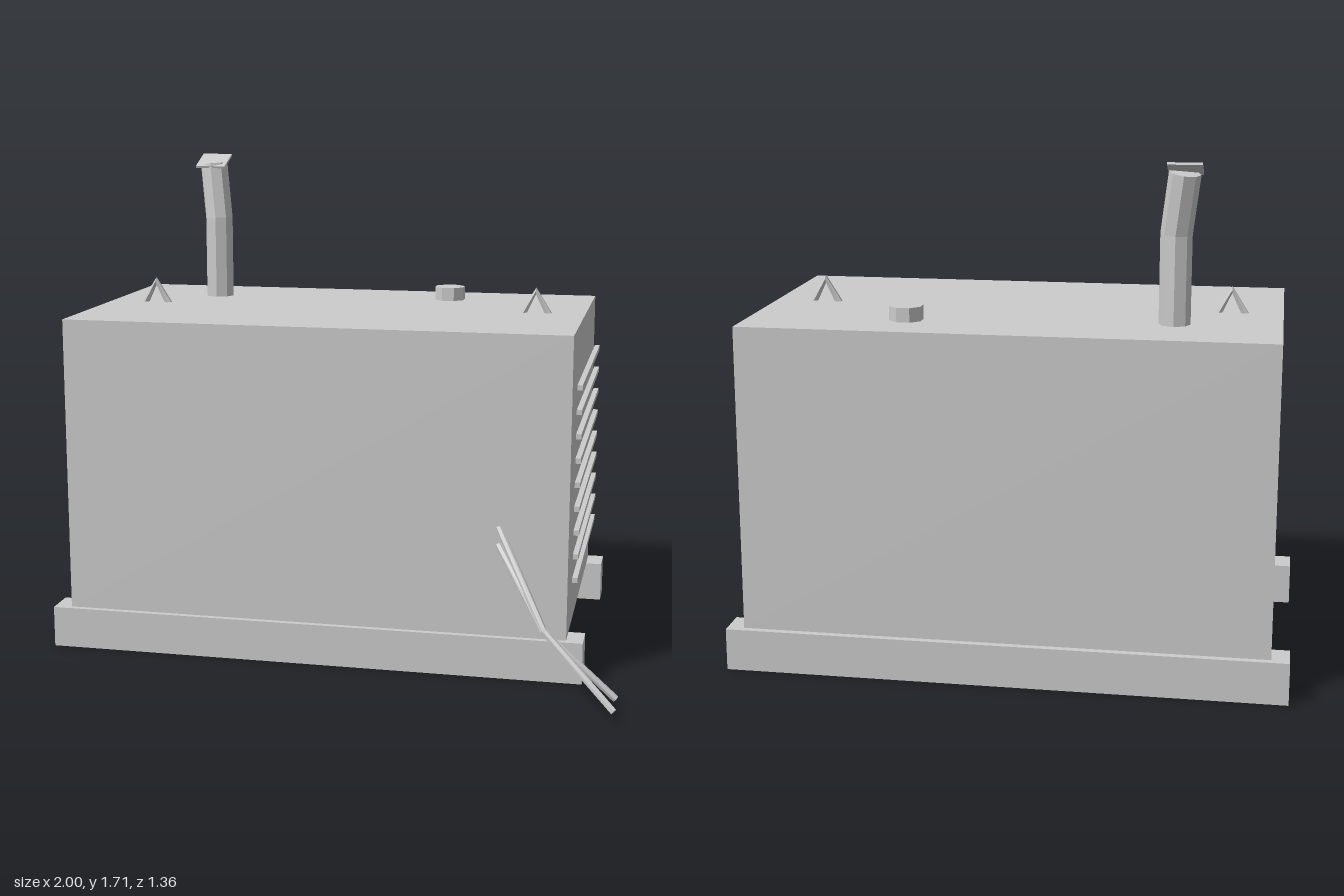
import * as THREE from 'three';

const material = new THREE.MeshStandardMaterial({ color: 0xcccccc, flatShading: true });

function add(group, name, geometry, x = 0, y = 0, z = 0) {
  const mesh = new THREE.Mesh(geometry, material);
  mesh.name = name;
  mesh.position.set(x, y, z);
  group.add(mesh);
  return mesh;
}

// Box given by its lower and upper corners
function addBox(group, name, [x0, y0, z0], [x1, y1, z1]) {
  return add(group, name, new THREE.BoxGeometry(x1 - x0, y1 - y0, z1 - z0),
    (x0 + x1) / 2, (y0 + y1) / 2, (z0 + z1) / 2);
}

// Capped rod bent along a polyline: each ring of a cylinder is moved to one point
function bentRod(points, radius, sides) {
  const pts = points.map(p => new THREE.Vector3(...p));
  const last = pts.length - 1;
  const up = new THREE.Vector3(0, 1, 0);
  const turns = pts.map((p, i) => {
    const dir = new THREE.Vector3();
    if (i > 0) dir.add(p.clone().sub(pts[i - 1]).normalize());
    if (i < last) dir.add(pts[i + 1].clone().sub(p).normalize());
    return new THREE.Quaternion().setFromUnitVectors(up, dir.normalize());
  });
  const geometry = new THREE.CylinderGeometry(radius, radius, 1, sides, last);
  const pos = geometry.attributes.position;
  const v = new THREE.Vector3();
  for (let i = 0; i < pos.count; i++) {
    v.fromBufferAttribute(pos, i);
    const ring = Math.round((v.y + 0.5) * last);
    v.setY(0).applyQuaternion(turns[ring]).add(pts[ring]);
    pos.setXYZ(i, v.x, v.y, v.z);
  }
  geometry.computeVertexNormals();
  return geometry;
}

export function createModel() {
  const model = new THREE.Group();
  model.name = 'generator';

  // Housing on two skids
  addBox(model, 'housing', [-0.94, 0.143, -0.657], [0.813, 1.175, 0.35]);
  addBox(model, 'frontSkid', [-1, 0, 0.258], [0.87, 0.143, 0.37]);
  addBox(model, 'backSkid', [-1, 0, -0.68], [0.87, 0.143, -0.567]);

  // Grille bars on the end face
  const grille = new THREE.Group();
  grille.name = 'grille';
  for (let i = 0; i < 9; i++) {
    const y = 0.33 + i * 0.0825;
    addBox(grille, 'grilleBar', [0.822, y - 0.009, -0.575], [0.84, y + 0.009, 0.27]);
  }
  model.add(grille);

  // Bent exhaust pipe with a tilted rain flap
  add(model, 'exhaustPipe', bentRod(
    [[-0.59, 1.17, -0.385], [-0.59, 1.47, -0.385], [-0.615, 1.668, -0.412]], 0.052, 8));
  const flap = add(model, 'exhaustFlap', new THREE.BoxGeometry(0.112, 0.008, 0.112),
    -0.616, 1.681, -0.413);
  flap.rotation.x = 0.38;

  // Fuel cap
  const cap = add(model, 'fuelCap', new THREE.CylinderGeometry(0.057, 0.057, 0.05, 8),
    0.286, 1.198, -0.45);
  cap.rotation.y = Math.PI / 8;

  // Lifting eyes
  for (const x of [-0.767, 0.638]) {
    add(model, 'liftingEye', bentRod(
      [[-0.047, 1.168, 0], [0, 1.253, 0], [0.047, 1.168, 0]], 0.013, 6), x, 0, -0.155);
  }

  // Two cables that meet and part again
  for (const [startY, endZ] of [[0.525, 0.665], [0.465, 0.55]]) {
    add(model, 'cable', bentRod(
      [[0.582, startY, 0.358], [0.755, 0.24, 0.55], [0.992, 0.028, endZ]], 0.012, 6));
  }

  return model;
}
